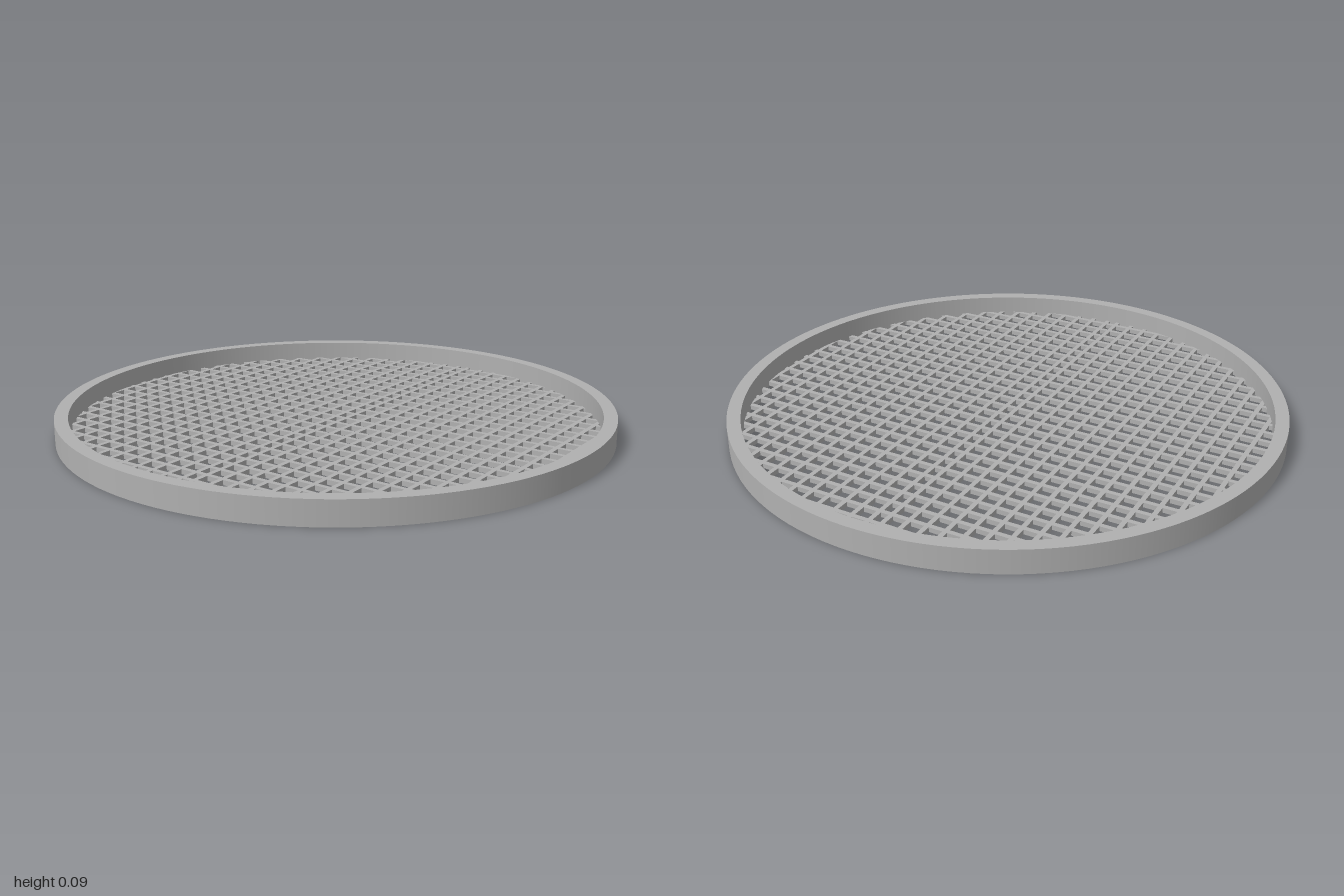
import * as THREE from 'three';

export function createModel() {
  const model = new THREE.Group();
  const steel = new THREE.MeshStandardMaterial({ color: 0xb0b0b0 });
  steel.name = 'grey steel';

  const OUTER = 1, INNER = 0.952, HEIGHT = 0.085;
  const BAR = 0.017, EMBED = 0.97; // bars end inside the rim

  // Rim: rectangular section revolved, each side its own strip so corners stay sharp
  const rim = new THREE.Group();
  rim.name = 'rim';
  const corners = [[INNER, 0], [OUTER, 0], [OUTER, HEIGHT], [INNER, HEIGHT]];
  ['rimBottom', 'rimOuterWall', 'rimTop', 'rimInnerWall'].forEach((name, i) => {
    const side = [corners[i], corners[(i + 1) % 4]].map(([r, y]) => new THREE.Vector2(r, y));
    const strip = new THREE.Mesh(new THREE.LatheGeometry(side, 128), steel);
    strip.name = name;
    rim.add(strip);
  });
  model.add(rim);

  // Mesh floor: straight bars in both directions, cut to the circle
  const addBars = (name, first, pitch, alongX) => {
    const bars = new THREE.Group();
    bars.name = name;
    for (let p = first; p < INNER; p += pitch) {
      const length = 2 * Math.sqrt(EMBED * EMBED - p * p);
      const geometry = new THREE.BoxGeometry(alongX ? length : BAR, BAR, alongX ? BAR : length);
      for (const s of [-1, 1]) {
        const bar = new THREE.Mesh(geometry, steel);
        bar.name = 'bar';
        bar.position.set(alongX ? 0 : s * p, BAR / 2 + 0.001, alongX ? s * p : 0);
        bars.add(bar);
      }
    }
    model.add(bars);
  };
  addBars('crossBars', 0.0317, 0.0634, true);
  addBars('lengthwiseBars', 0.0225, 0.065, false);

  return model;
}
